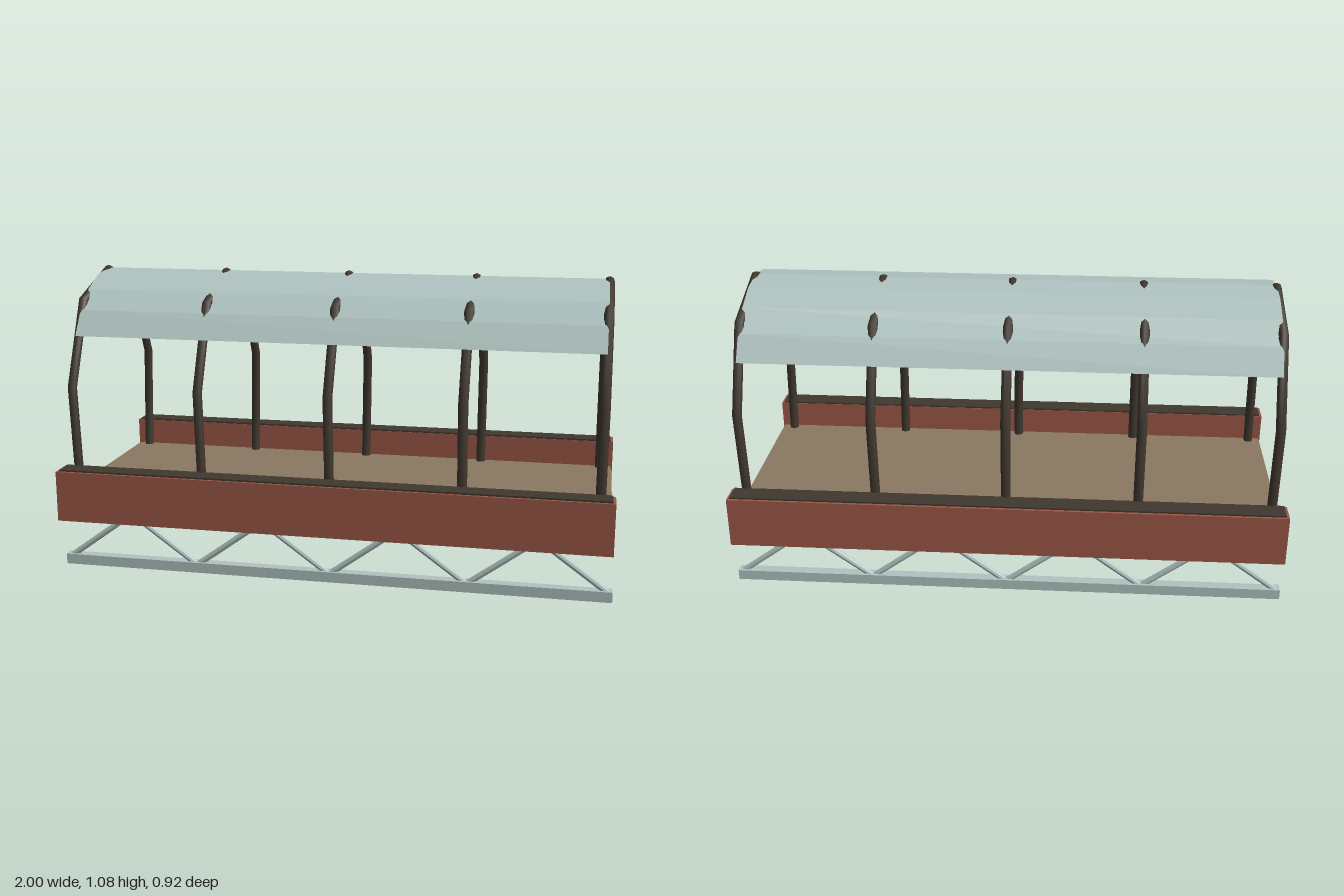
import * as THREE from 'three';

// Mitred polyline path: each tube ring sits exactly on a corner
class Polyline extends THREE.Curve {
  constructor(points) {
    super();
    this.points = points;
  }
  index(u) {
    return Math.round(u * (this.points.length - 1));
  }
  getPointAt(u, target = new THREE.Vector3()) {
    return target.copy(this.points[this.index(u)]);
  }
  getTangentAt(u, target = new THREE.Vector3()) {
    const p = this.points, i = this.index(u);
    target.set(0, 0, 0);
    if (i > 0) target.add(p[i].clone().sub(p[i - 1]).normalize());
    if (i < p.length - 1) target.add(p[i + 1].clone().sub(p[i]).normalize());
    return target.normalize();
  }
}

export function createModel() {
  const model = new THREE.Group();
  model.name = 'coveredFootbridge';

  const material = (name, color, options = {}) => {
    const m = new THREE.MeshStandardMaterial({ color, ...options });
    m.name = name;
    return m;
  };
  const rust = material('rustRed', 0x9c5846);
  const timber = material('timberTan', 0x8a7862);
  const dark = material('darkBrown', 0x40382f);
  const steel = material('paleSteel', 0xb0c4c1, { flatShading: true, side: THREE.DoubleSide });

  const add = (name, geometry, mat, parent = model) => {
    const mesh = new THREE.Mesh(geometry, mat);
    mesh.name = name;
    parent.add(mesh);
    return mesh;
  };
  const box = (name, size, pos, mat, parent) => {
    const mesh = add(name, new THREE.BoxGeometry(...size), mat, parent);
    mesh.position.set(...pos);
    return mesh;
  };

  // Walking deck
  box('deck', [1.98, 0.05, 0.75], [0, 0.25, 0], timber);

  for (const side of [1, -1]) {
    const label = side > 0 ? 'front' : 'back';

    // Side planter wall with a dark top
    box(label + 'Wall', [1.99, 0.185, 0.085], [0, 0.2825, side * 0.4175], rust);
    box(label + 'WallTop', [1.97, 0.008, 0.073], [0, 0.377, side * 0.414], dark);

    // Truss: two chords and a zigzag of round struts
    const truss = new THREE.Group();
    truss.name = label + 'Truss';
    truss.position.z = side * 0.374;
    model.add(truss);
    box('bottomChord', [2, 0.038, 0.038], [0, 0.019, 0], steel, truss);
    box('topChord', [1.98, 0.038, 0.038], [0, 0.209, 0], steel, truss);
    for (let i = 0; i < 8; i++) {
      const a = new THREE.Vector3(-0.99 + i * 0.2475, i % 2 ? 0.205 : 0.025, 0);
      const b = new THREE.Vector3(-0.99 + (i + 1) * 0.2475, i % 2 ? 0.025 : 0.205, 0);
      const d = b.clone().sub(a);
      const strut = add('strut', new THREE.CylinderGeometry(0.011, 0.011, d.length(), 8), steel, truss);
      strut.position.copy(a).add(b).multiplyScalar(0.5);
      strut.quaternion.setFromUnitVectors(new THREE.Vector3(0, 1, 0), d.normalize());
    }
  }

  // Five arched ribs
  const half = [[0.358, 0.265], [0.387, 0.675], [0.252, 0.973]];
  const profile = [...half, [0, 1.06], ...half.map(([z, y]) => [-z, y]).reverse()];
  const path = new Polyline(profile.map(([z, y]) => new THREE.Vector3(0, y, z)));
  const ribGeometry = new THREE.TubeGeometry(path, profile.length - 1, 0.0175, 8);
  for (let i = -2; i <= 2; i++) {
    add('archRib', ribGeometry, dark).position.x = i * 0.4725;
  }

  // Thin faceted canopy, an arc of eight panels running along x
  const span = THREE.MathUtils.degToRad(128);
  const canopy = add(
    'canopy',
    new THREE.CylinderGeometry(0.378, 0.378, 1.89, 8, 1, true, Math.PI / 2 - span / 2, span),
    steel
  );
  canopy.rotation.z = Math.PI / 2;
  canopy.position.y = 0.69;

  return model;
}
